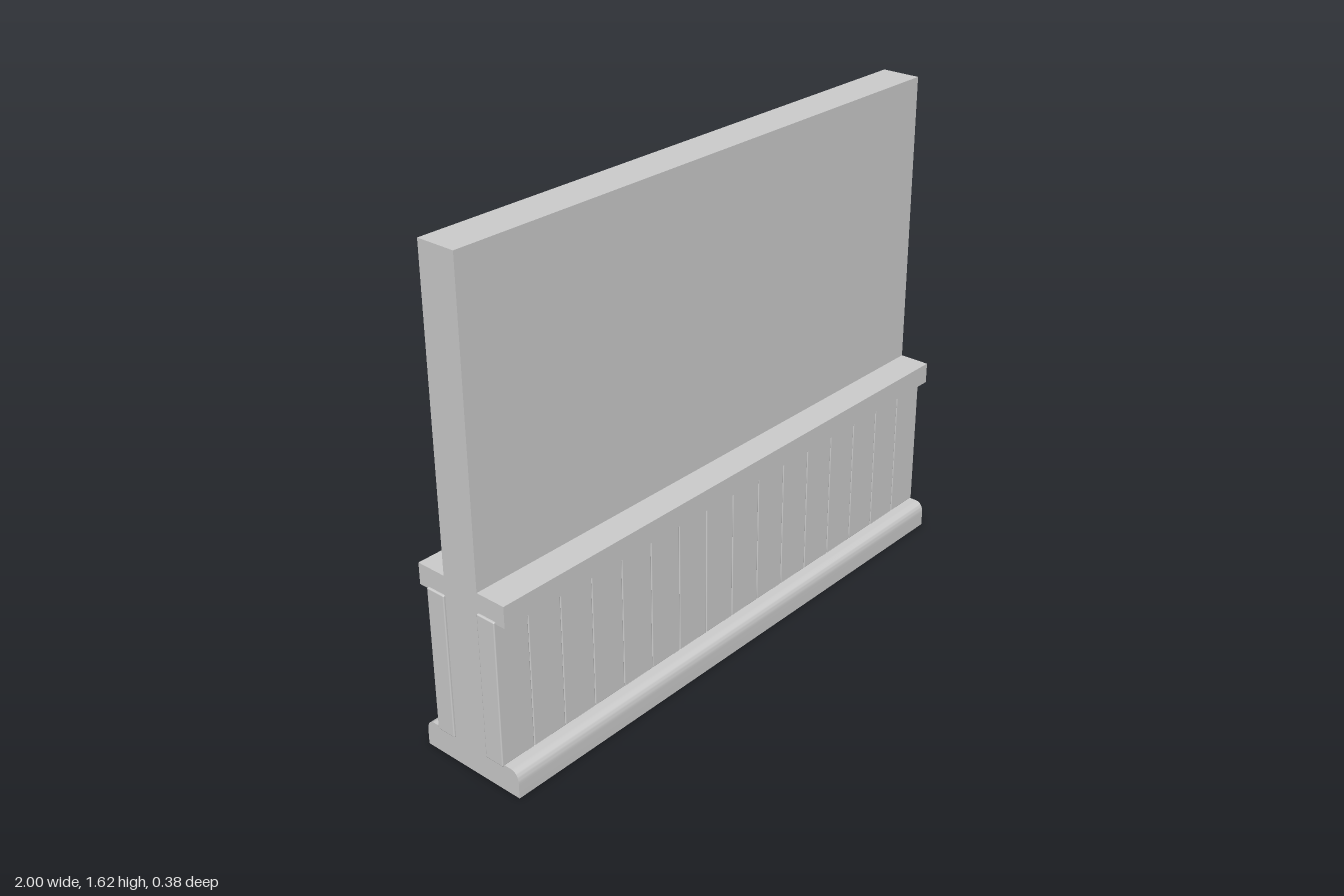
import * as THREE from 'three';
import { toCreasedNormals } from 'three/addons/utils/BufferGeometryUtils.js';
import { RoundedBoxGeometry } from 'three/addons/geometries/RoundedBoxGeometry.js';

const LENGTH = 1.986;
const WALL_HALF = 0.066;
const HEIGHT = 1.615;

export function createModel() {
  const model = new THREE.Group();
  model.name = 'panelledWall';
  const material = new THREE.MeshStandardMaterial({ color: 0xcccccc });

  const add = (parent, name, geometry, x, y, z) => {
    const mesh = new THREE.Mesh(geometry, material);
    mesh.name = name;
    mesh.position.set(x, y, z);
    parent.add(mesh);
  };

  // Plain wall slab
  add(model, 'wall', new THREE.BoxGeometry(LENGTH, HEIGHT, WALL_HALF * 2), 0, HEIGHT / 2, 0);

  // Baseboard section (z across, y up) with a rounded upper edge
  const section = new THREE.Shape();
  section.moveTo(WALL_HALF, 0);
  section.lineTo(0.19, 0);
  section.lineTo(0.19, 0.048);
  section.bezierCurveTo(0.19, 0.072, 0.18, 0.088, 0.16, 0.088);
  section.lineTo(WALL_HALF, 0.088);
  section.closePath();
  const extruded = new THREE.ExtrudeGeometry(section, { depth: LENGTH, bevelEnabled: false, curveSegments: 10 });
  extruded.translate(0, 0, -LENGTH / 2).rotateY(-Math.PI / 2);
  const baseboard = toCreasedNormals(extruded, 0.6);

  // Cap rail and softly edged vertical planks
  const capDepth = 0.17 - WALL_HALF;
  const cap = new THREE.BoxGeometry(LENGTH, 0.07, capDepth);
  const plankCount = 16;
  const plankWidth = 2 / plankCount;
  const plank = new RoundedBoxGeometry(plankWidth, 0.482, 0.069, 2, 0.004);

  // The same wainscot on both faces of the wall
  for (const side of ['front', 'back']) {
    const wainscot = new THREE.Group();
    wainscot.name = side + 'Wainscot';
    add(wainscot, 'baseboard', baseboard, 0, 0, 0);
    add(wainscot, 'capRail', cap, 0, 0.595, WALL_HALF + capDepth / 2);
    for (let i = 0; i < plankCount; i++) {
      add(wainscot, 'plank', plank, -1 + (i + 0.5) * plankWidth, 0.326, WALL_HALF + 0.0345);
    }
    if (side === 'back') wainscot.rotation.y = Math.PI;
    model.add(wainscot);
  }
  return model;
}
